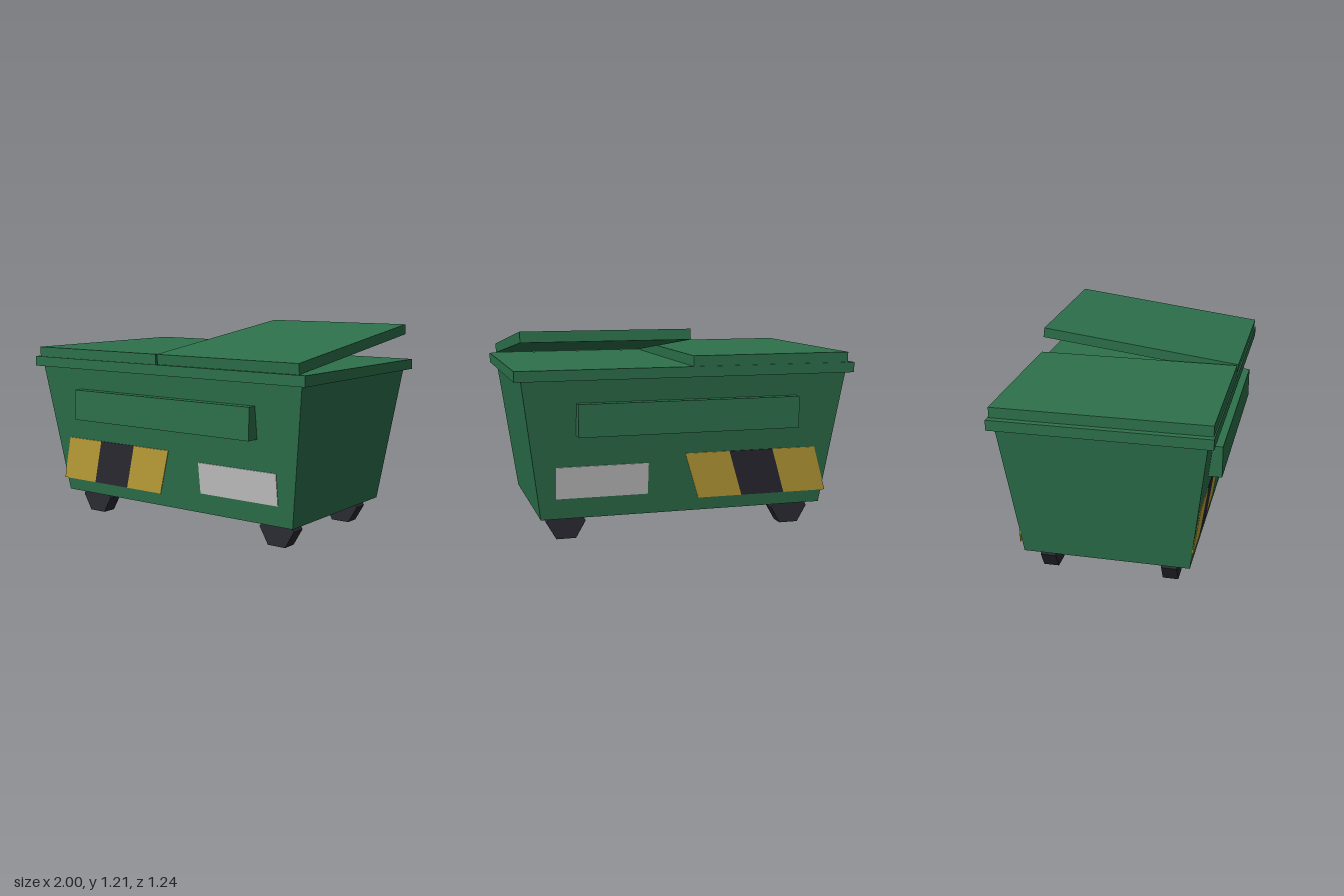
import * as THREE from 'three';

const material = (name, color) => {
  const m = new THREE.MeshStandardMaterial({ color });
  m.name = name;
  return m;
};

export function createModel() {
  const green = material('green paint', 0x2d714c);
  const dark = material('dark rubber', 0x2b2b33);
  const yellow = material('warning yellow', 0xc4a53a);
  const pale = material('pale label', 0xc4c4c4);

  const model = new THREE.Group();
  model.name = 'wasteContainer';

  const add = (parent, name, geometry, mat) => {
    const mesh = new THREE.Mesh(geometry, mat);
    mesh.name = name;
    parent.add(mesh);
    return mesh;
  };
  // Box given by its limits on each axis
  const box = (x0, x1, y0, y1, z0, z1) =>
    new THREE.BoxGeometry(x1 - x0, y1 - y0, z1 - z0)
      .translate((x0 + x1) / 2, (y0 + y1) / 2, (z0 + z1) / 2);

  // Tapered body, narrower at the bottom
  const bottom = 0.14, top = 0.94;
  const bodyGeometry = box(-0.96, 0.96, bottom, top, -0.58, 0.58);
  const p = bodyGeometry.attributes.position;
  for (let i = 0; i < p.count; i++) {
    if (p.getY(i) < 0.5) {
      p.setX(i, Math.sign(p.getX(i)) * 0.85);
      p.setZ(i, Math.sign(p.getZ(i)) * 0.482);
    }
  }
  bodyGeometry.computeVertexNormals();
  add(model, 'body', bodyGeometry, green);
  add(model, 'rim', box(-1, 1, 0.94, 1, -0.615, 0.615), green);

  // Closed lid, and a lid propped open about its front edge
  add(model, 'closedLid', box(-0.962, -0.01, 1, 1.06, -0.608, 0.608), green);
  const openLid = add(model, 'openLid', box(0.005, 0.96, 0, 0.06, -1.214, 0), green);
  openLid.position.set(0, 1.001, 0.607);
  openLid.rotation.x = 0.124;

  // Thin plate lying on the sloping wall, from outline points (x, y)
  const slope = (0.58 - 0.482) / (top - bottom);
  const tilt = Math.atan(slope);
  const plate = (points, side) => {
    const shape = new THREE.Shape(points.map(([x, y]) =>
      new THREE.Vector2(x * side, (y - bottom) / Math.cos(tilt))));
    return new THREE.ExtrudeGeometry(shape, { depth: 0.005, bevelEnabled: false })
      .rotateX(tilt).translate(0, bottom, 0.481);
  };

  // Front and back carry the same fittings, mirrored in z
  for (const side of [1, -1]) {
    const face = new THREE.Group();
    face.name = side > 0 ? 'frontFittings' : 'backFittings';
    if (side < 0) face.rotation.y = Math.PI;
    model.add(face);

    add(face, 'liftingBar', box(-0.653, 0.653, 0.625, 0.81, 0.5, 0.62), green);

    // Slanted warning stripes
    for (let i = 0; i < 3; i++) {
      const x = -0.885 + i * 0.269, w = 0.269, lean = 0.09;
      const points = [[x, 0.215], [x + w, 0.215], [x + w + lean, 0.49], [x + lean, 0.49]];
      add(face, 'warningStripe', plate(points, side), i === 1 ? dark : yellow);
    }
    add(face, 'labelPlate',
      plate([[0.23, 0.26], [0.765, 0.26], [0.765, 0.445], [0.23, 0.445]], side), pale);
  }

  // Six-sided wheels
  const wheelGeometry = new THREE.CylinderGeometry(0.115, 0.115, 0.09, 6)
    .rotateY(Math.PI / 2).rotateX(Math.PI / 2).toNonIndexed();
  wheelGeometry.computeVertexNormals();
  for (const x of [-0.692, 0.692]) {
    for (const z of [-0.356, 0.356]) {
      add(model, 'wheel', wheelGeometry, dark).position.set(x, 0.1, z);
    }
  }
  return model;
}
